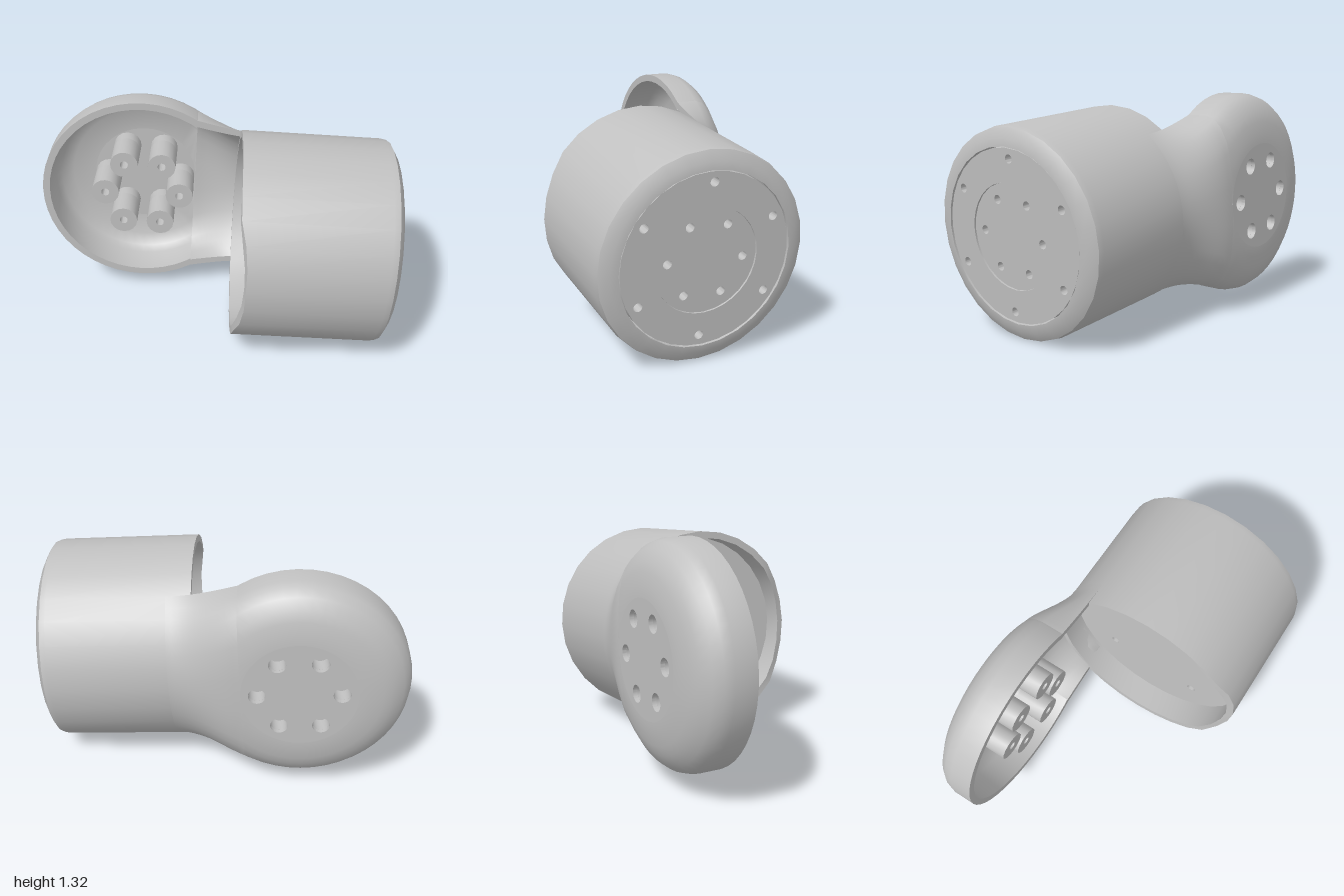
import * as THREE from 'three';
import { toCreasedNormals } from 'three/addons/utils/BufferGeometryUtils.js';

const grey = new THREE.MeshStandardMaterial({ color: 0xc0c0c0, side: THREE.DoubleSide });
grey.name = 'castGrey';

// Local frame: x runs along the barrel, z along the dish axis.
const DISH_X = -0.62, RIM_Z = -0.275, BACK_Z = -0.57, CUT = 0.32;
const BARREL_Z = 0.1, BARREL_R = 0.6, BARREL_X = -0.04, FLOOR_X = 0.12, NECK_END = 0.1;

// Dish profile as [radius, z], from the flat back over the rim to the inner floor
const dishOuter = [[CUT, BACK_Z], [0.34, -0.569], [0.38, -0.565], [0.45, -0.552], [0.5, -0.535],
  [0.565, -0.495], [0.6, -0.45], [0.615, -0.4], [0.615, RIM_Z]];
const dishInner = [[0.573, RIM_Z], [0.558, -0.44], [0.53, -0.485], [0.46, -0.525], [CUT, -0.54]];

function part(name, geometry, parent) {
  const mesh = new THREE.Mesh(toCreasedNormals(geometry, 0.6), grey);
  mesh.name = name;
  parent.add(mesh);
  return mesh;
}

function lathe(points, segments) {
  return new THREE.LatheGeometry(points.map(p => new THREE.Vector2(...p)), segments);
}

// Six round holes on a ring, as [x, y, radius]
function ring(radius, start, hole) {
  return Array.from({ length: 6 }, (_, i) => {
    const a = start + i * Math.PI / 3;
    return [radius * Math.cos(a), radius * Math.sin(a), hole];
  });
}

// Round plate along z with holes
function plate(radius, z0, z1, holes, segments = 12) {
  const shape = new THREE.Shape().absarc(0, 0, radius, 0, Math.PI * 2);
  for (const [x, y, r] of holes) {
    shape.holes.push(new THREE.Path().absarc(x, y, r, 0, Math.PI * 2, true));
  }
  return new THREE.ExtrudeGeometry(shape, { depth: z1 - z0, bevelEnabled: false, curveSegments: segments })
    .translate(0, 0, z0);
}

// Barrel shell; the open rim is set back on the side facing away from the dish
function barrelShell() {
  const g = lathe([[0.56, FLOOR_X], [0.56, BARREL_X], [BARREL_R, BARREL_X],
    [BARREL_R, 0.775], [0.594, 0.808], [0.54, 0.84], [0.495, 0.845], [0.495, 0.825]], 28)
    .rotateZ(-Math.PI / 2);
  const p = g.attributes.position;
  for (let i = 0; i < p.count; i++) {
    if (p.getX(i) < 0) p.setX(i, BARREL_X + 0.05 * THREE.MathUtils.smoothstep(p.getZ(i), 0.44, 0.6));
  }
  return g;
}

// Dish wall; vertices past the cut slide back along their circle to meet the neck
function dishWall() {
  const g = lathe([...dishOuter, ...dishInner], 48).rotateX(Math.PI / 2);
  const p = g.attributes.position;
  for (let i = 0; i < p.count; i++) {
    const x = p.getX(i), y = p.getY(i);
    if (x > CUT) {
      const slid = Math.sqrt(Math.max(0, x * x + y * y - CUT * CUT));
      p.setXY(i, CUT, Math.sign(y) * slid);
    }
  }
  const kept = [], index = g.index.array;
  for (let i = 0; i < index.length; i += 3) {
    const tri = [index[i], index[i + 1], index[i + 2]];
    if (tri.some(v => p.getX(v) < CUT - 0.001)) kept.push(...tri);
  }
  g.setIndex(kept);
  return g;
}

// Neck lofted from the dish section into the side of the barrel
function neck() {
  const half = dishOuter.slice().reverse();
  const n = half.length, steps = 12;
  const phi0 = Math.acos((BARREL_Z - RIM_Z) / BARREL_R);
  const positions = [], index = [];
  const x0 = DISH_X + CUT;
  for (let s = 0; s <= steps; s++) {
    const t = s / steps, ease = t * t * (3 - 2 * t), easeOut = Math.sin(t * Math.PI / 2);
    const outer = [];
    for (let i = 0; i < 2 * n - 1; i++) {
      const k = i < n ? i : 2 * n - 2 - i;
      const sign = i < n ? 1 : -1;
      const [r, z] = half[k];
      const phi = phi0 * (1 - k / (n - 1));
      const y = THREE.MathUtils.lerp(Math.sqrt(Math.max(0, r * r - CUT * CUT)), BARREL_R * Math.sin(phi), easeOut);
      const zz = THREE.MathUtils.lerp(z, BARREL_Z - BARREL_R * Math.cos(phi), ease);
      outer.push([sign * y, zz]);
    }
    const inner = outer.map(([y, z]) => [y * 0.92, Math.min(RIM_Z, z + 0.035)]).reverse();
    for (const [y, z] of [...outer, ...inner]) positions.push(x0 + (NECK_END - x0) * t, y, z);
  }
  const m = 2 * (2 * n - 1);
  for (let s = 0; s < steps; s++) {
    for (let i = 0; i < m; i++) {
      const a = s * m + i, b = s * m + (i + 1) % m;
      index.push(a, a + m, b, b, a + m, b + m);
    }
  }
  const g = new THREE.BufferGeometry();
  g.setAttribute('position', new THREE.Float32BufferAttribute(positions, 3));
  g.setIndex(index);
  return g;
}

export function createModel() {
  const model = new THREE.Group();
  model.name = 'armJointHousing';
  const body = new THREE.Group();
  body.name = 'housing';
  model.add(body);

  // Barrel: shell with a chamfered, slightly proud outer end
  const barrel = new THREE.Group();
  barrel.name = 'barrel';
  barrel.position.z = BARREL_Z;
  body.add(barrel);
  part('barrelShell', barrelShell(), barrel);

  // End plates: bolt ring around a slightly sunk hub, and the inner floor
  const roll = -0.05;
  const outerHoles = ring(0.43, Math.PI / 2 + roll, 0.025);
  const innerHoles = ring(0.22, roll, 0.025);
  const floorHoles = [[-0.28, 0.2], [-0.28, -0.25], [0.28, 0.25], [0.28, -0.2]].map(c => [...c, 0.025]);
  part('boltRing', plate(0.488, 0.7, 0.838, [...outerHoles, [0, 0, 0.3]], 16)
    .rotateY(Math.PI / 2), barrel);
  part('hubPlate', plate(0.3, 0.7, 0.828, innerHoles).rotateY(Math.PI / 2), barrel);
  part('barrelFloor', plate(0.565, FLOOR_X, FLOOR_X + 0.03, floorHoles, 16)
    .rotateY(Math.PI / 2), barrel);

  // Dish: shallow cup facing +z with six screw bosses
  const dish = new THREE.Group();
  dish.name = 'dish';
  dish.position.x = DISH_X;
  body.add(dish);
  part('dishWall', dishWall(), dish);
  const screws = ring(0.23, 0, 0.048);
  part('dishFloor', plate(CUT, BACK_Z, -0.54, screws, 24), dish);
  for (const [x, y, r] of screws) {
    part('bossSleeve', plate(0.085, -0.545, -0.46, [[0, 0, r]], 8), dish).position.set(x, y, 0);
    part('boss', plate(0.085, -0.46, -0.268, [[0, 0, 0.025]], 8), dish).position.set(x, y, 0);
  }

  part('neck', neck(), body);

  // Turn the housing into its resting pose
  const along = new THREE.Vector3(0.877, -0.075, 0.474).normalize();
  const facing = new THREE.Vector3(-0.475, 0, 0.88).normalize();
  const up = new THREE.Vector3().crossVectors(facing, along).normalize();
  facing.crossVectors(along, up);
  body.quaternion.setFromRotationMatrix(new THREE.Matrix4().makeBasis(along, up, facing));
  body.position.y = 0.657;
  return model;
}
